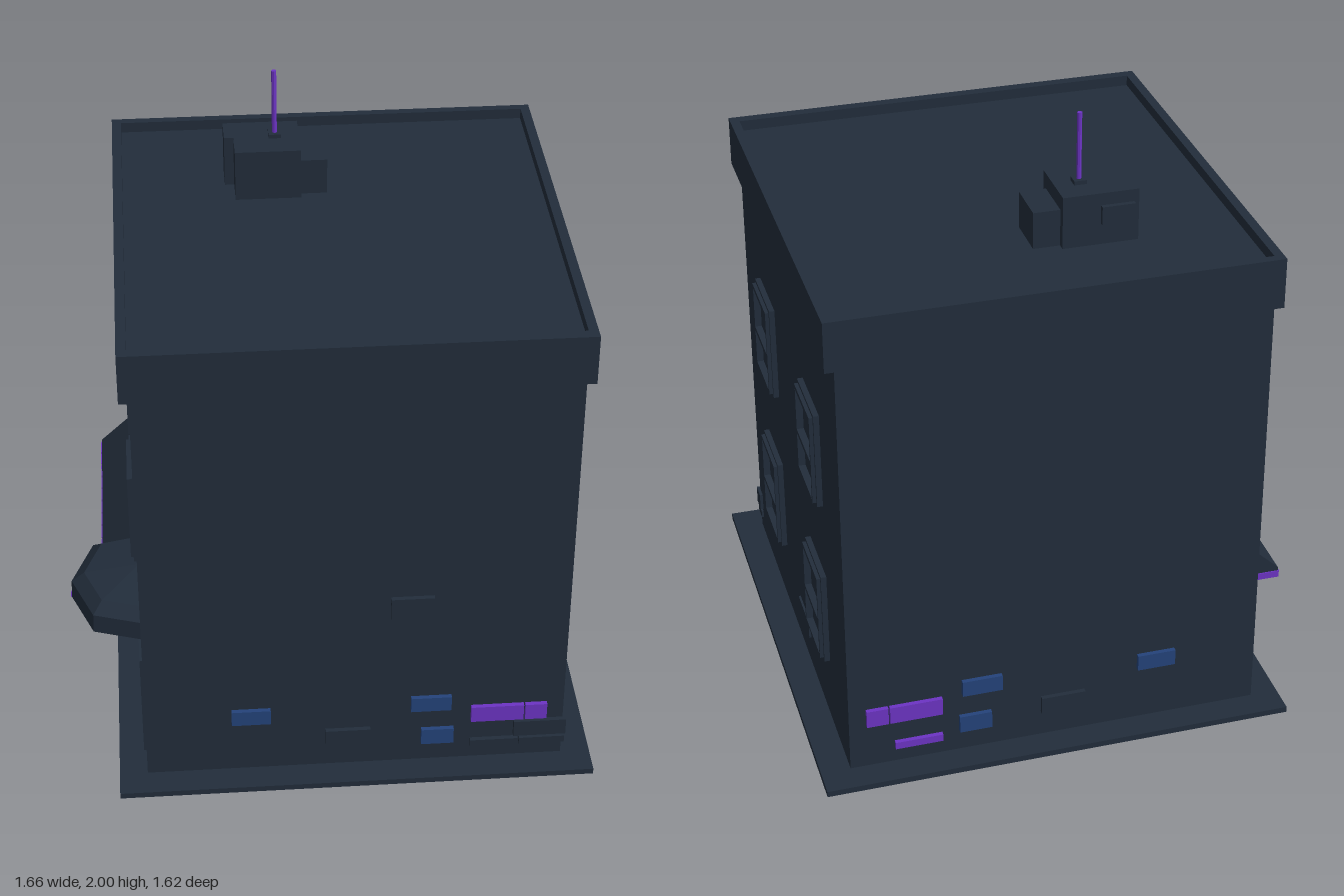
import * as THREE from 'three';

const mat = (name, color) =>
  new THREE.MeshStandardMaterial({ name, color, side: THREE.DoubleSide, flatShading: true });

export function createModel() {
  const slate = mat('dark slate', 0x222d3b);
  const blue = mat('blue brick', 0x24437a);
  const purple = mat('purple', 0x6c34c4);
  const peach = mat('warm glow', 0xcc9a70);
  const root = new THREE.Group();

  const add = (name, geo, material, parent = root) => {
    const m = new THREE.Mesh(geo, material);
    m.name = name;
    parent.add(m);
    return m;
  };
  // box given by its limits
  const box = (name, material, x0, x1, y0, y1, z0, z1, parent = root) => {
    const g = new THREE.BoxGeometry(x1 - x0, y1 - y0, z1 - z0);
    g.translate((x0 + x1) / 2, (y0 + y1) / 2, (z0 + z1) / 2);
    return add(name, g, material, parent);
  };
  const rect = (x0, x1, y0, y1, Type = THREE.Shape) => new Type([
    new THREE.Vector2(x0, y0), new THREE.Vector2(x1, y0),
    new THREE.Vector2(x1, y1), new THREE.Vector2(x0, y1)]);
  const extrude = (shape, depth) =>
    new THREE.ExtrudeGeometry(shape, { depth, bevelEnabled: false, curveSegments: 8 });
  // horizontal rectangular ring between two heights; limits are x0, x1, z0, z1
  const ring = (name, o, i, y0, y1) => {
    const s = rect(o[0], o[1], -o[3], -o[2]);
    s.holes.push(rect(i[0], i[1], -i[3], -i[2], THREE.Path));
    const g = extrude(s, y1 - y0);
    g.rotateX(-Math.PI / 2);
    g.translate(0, y0, 0);
    return add(name, g, slate);
  };

  // pavement, walls without a floor, and roof parapet
  ring('pavement', [-0.7, 0.83, -0.81, 0.81], [-0.61, 0.735, -0.718, 0.718], 0, 0.02);
  const walls = box('walls', slate, -0.61, 0.735, 0.01, 1.6, -0.718, 0.718);
  const idx = Array.from(walls.geometry.index.array);
  idx.splice(18, 6);
  walls.geometry.setIndex(idx);
  walls.geometry.clearGroups();
  ring('parapet', [-0.64, 0.765, -0.723, 0.72], [-0.61, 0.735, -0.695, 0.685], 1.47, 1.635);

  // rooftop machinery and antenna
  const unit = new THREE.Group();
  unit.name = 'rooftopUnit';
  root.add(unit);
  box('unitBody', slate, -0.25, -0.04, 1.6, 1.77, -0.415, -0.215, unit);
  box('unitSide', slate, -0.28, -0.25, 1.6, 1.77, -0.415, -0.315, unit);
  box('unitAnnex', slate, -0.04, 0.045, 1.6, 1.72, -0.39, -0.24, unit);
  box('unitVent', slate, -0.265, -0.16, 1.67, 1.73, -0.43, -0.415, unit);
  box('antennaFoot', slate, -0.138, -0.098, 1.77, 1.783, -0.342, -0.302, unit);
  const rod = add('antenna', new THREE.CylinderGeometry(0.008, 0.008, 0.23, 8), purple, unit);
  rod.position.set(-0.118, 1.885, -0.322);

  // sash windows: trim, sashes with two openings, and a recessed pane
  const addWindow = (side, z, y, depth) => {
    const g = new THREE.Group();
    g.name = 'window';
    const trim = rect(-0.118, 0.118, 0, 0.325);
    trim.holes.push(rect(-0.108, 0.108, 0.01, 0.315, THREE.Path));
    add('windowTrim', extrude(trim, depth * 0.6), slate, g);
    const sash = rect(-0.108, 0.108, 0.01, 0.315);
    sash.holes.push(rect(-0.098, 0.098, 0.02, 0.14, THREE.Path));
    sash.holes.push(rect(-0.098, 0.098, 0.155, 0.3, THREE.Path));
    add('windowSash', extrude(sash, depth), slate, g);
    box('windowPane', slate, -0.1, 0.1, 0.015, 0.305, 0.001, 0.008, g);
    g.position.set(side > 0 ? 0.735 : -0.61, y, z);
    g.rotation.y = side * Math.PI / 2;
    root.add(g);
  };
  for (const z of [-0.342, 0.334]) {
    addWindow(1, z, 0.845, 0.03);
    addWindow(1, z, 0.255, 0.03);
    addWindow(-1, z, 0.68, 0.022);
  }

  // scattered bricks: x0, x1, y0, y1, front material, back material
  const bricks = [
    [-0.335, -0.21, 0.215, 0.27, blue, blue],
    [0.24, 0.37, 0.235, 0.29, blue, blue],
    [0.275, 0.38, 0.095, 0.155, blue, blue],
    [-0.035, 0.11, 0.11, 0.17, slate, slate],
    [0.17, 0.305, 0.62, 0.7, slate, null],
    [0.435, 0.605, 0.18, 0.24, purple, purple],
    [0.61, 0.68, 0.18, 0.24, purple, purple],
    [0.575, 0.745, 0.11, 0.17, slate, null],
    [0.435, 0.59, 0.075, 0.1, slate, purple],
    [0.595, 0.742, 0.075, 0.1, slate, null],
  ];
  for (const [x0, x1, y0, y1, front, back] of bricks) {
    box('frontBrick', front, x0, x1, y0, y1, 0.675, 0.733);
    if (back) box('backBrick', back, x0, x1, y0, y1, -0.733, -0.675);
  }
  box('sideBrick', slate, 0.69, 0.742, 0.125, 0.185, -0.15, 0.01);

  // shopfront on the -x wall: frames through the wall, glow on the inside
  const wallFrame = (name, shape) => {
    const g = extrude(shape, 0.03);
    g.rotateY(-Math.PI / 2);
    g.translate(-0.59, 0, 0);
    return add(name, g, slate);
  };
  const shop = rect(-0.56, 0.115, 0.07, 0.46);
  shop.holes.push(rect(-0.54, 0.095, 0.09, 0.44, THREE.Path));
  wallFrame('shopWindowFrame', shop);
  const arch = (inset, Type) => {
    const s = new Type();
    const a = 0.17 + inset, b = 0.61 - inset;
    s.moveTo(a, 0.02);
    s.lineTo(b, 0.02);
    s.lineTo(b, 0.4);
    s.quadraticCurveTo(0.39, 0.54 - inset * 2, a, 0.4);
    s.closePath();
    return s;
  };
  const door = arch(0, THREE.Shape);
  door.holes.push(arch(0.02, THREE.Path));
  wallFrame('doorFrame', door);
  box('shopGlow', peach, -0.608, -0.602, 0.09, 0.44, -0.54, 0.095);
  box('doorGlow', peach, -0.608, -0.602, 0.02, 0.385, 0.19, 0.59);

  // long sloping awning with a purple hem
  const slope = new THREE.Shape([[-0.61, 0.385], [-0.733, 0.385], [-0.733, 0.42], [-0.61, 0.535]]
    .map(p => new THREE.Vector2(...p)));
  const awning = extrude(slope, 0.705);
  awning.translate(0, 0, -0.59);
  add('longAwning', awning, slate);
  const n = 10, step = 0.705 / n;
  for (let i = 0; i < n; i++) {
    const z = -0.59 + i * step;
    box('awningHem', purple, -0.737, -0.733, 0.385, 0.408, z, z + step * 0.85);
  }
  box('awningHemBack', purple, -0.735, -0.61, 0.385, 0.408, -0.594, -0.59);
  box('awningHemFront', purple, -0.655, -0.61, 0.388, 0.41, 0.115, 0.119);

  // faceted canopy over the door, lofted from one outline
  const outline = [[-0.61, 0.16], [-0.76, 0.195], [-0.83, 0.38], [-0.76, 0.56], [-0.61, 0.61]];
  const loft = (pts, rings) => {
    const pos = [], ids = [];
    for (const [s, y] of rings)
      for (const [x, z] of pts) pos.push(-0.61 + (x + 0.61) * s, y, 0.385 + (z - 0.385) * s);
    const c = pts.length;
    for (let r = 0; r < rings.length - 1; r++)
      for (let i = 0; i < c - 1; i++) {
        const a = r * c + i, b = a + c;
        ids.push(a, a + 1, b, a + 1, b + 1, b);
      }
    let g = new THREE.BufferGeometry();
    g.setAttribute('position', new THREE.Float32BufferAttribute(pos, 3));
    g.setIndex(ids);
    g = g.toNonIndexed();
    g.computeVertexNormals();
    return g;
  };
  add('doorCanopy', loft(outline, [[1, 0.49], [0.99, 0.555], [0.8, 0.588], [0.01, 0.615]]), slate);
  add('canopyHem', loft(outline.slice(0, 3), [[1.012, 0.488], [1.012, 0.51]]), purple);

  return root;
}
